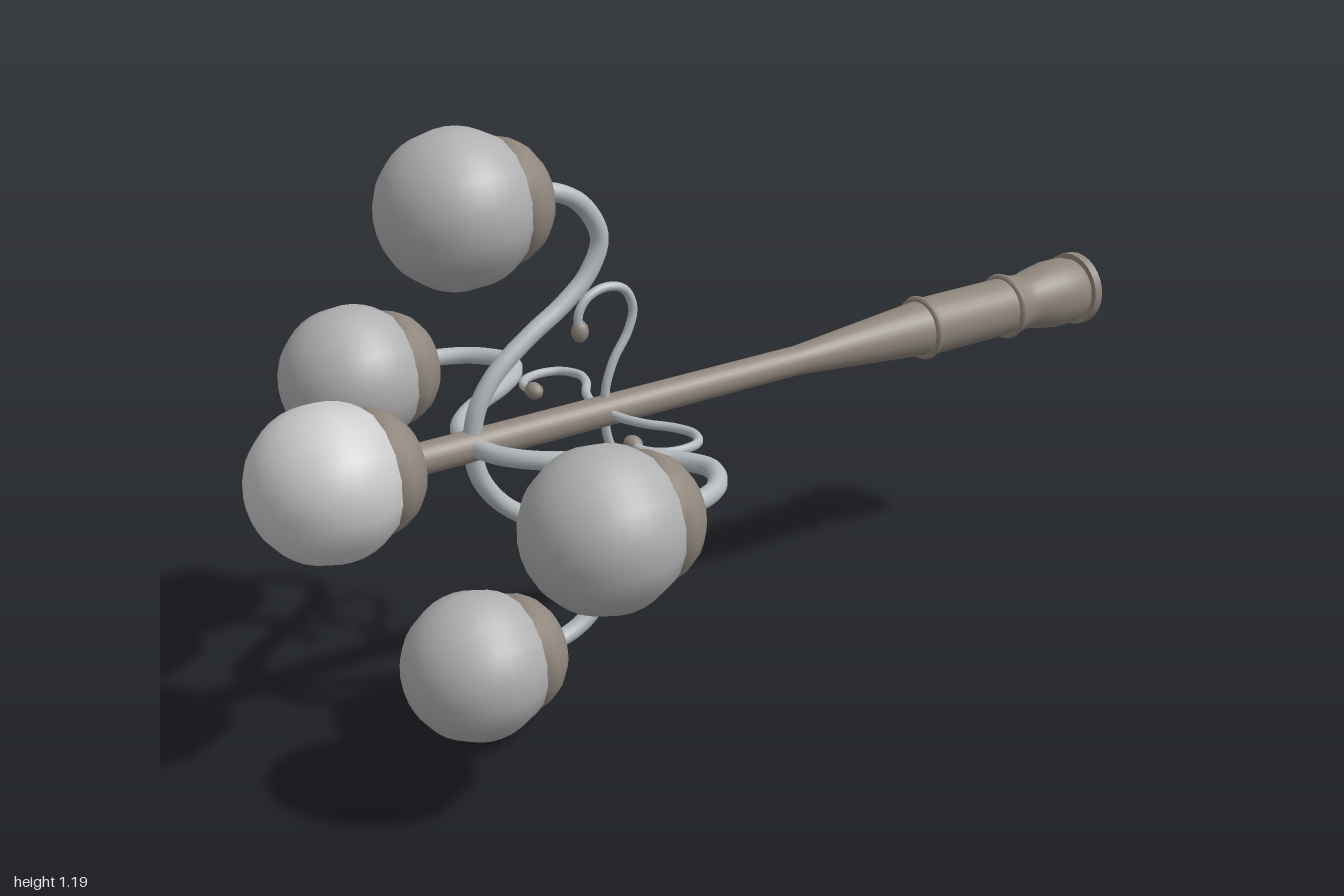
import * as THREE from 'three';

const brown = new THREE.MeshStandardMaterial({ color: 0x8f867c });
const steel = new THREE.MeshStandardMaterial({ color: 0xb4babd });
const glass = new THREE.MeshStandardMaterial({ color: 0xb0b0b0 });
const litGlass = new THREE.MeshStandardMaterial({ color: 0xffffff });

function mesh(name, geometry, material) {
  const m = new THREE.Mesh(geometry, material);
  m.name = name;
  return m;
}

// Lathe turned around the z axis; profile is [radius, z] with z ascending
function turned(profile, segments) {
  const g = new THREE.LatheGeometry(profile.map(([r, z]) => new THREE.Vector2(r, z)), segments);
  return g.rotateX(Math.PI / 2);
}

// Tube in the x-z plane through [radial, z] points
function bentRod(points, radius, segments) {
  const curve = new THREE.CatmullRomCurve3(points.map(([r, z]) => new THREE.Vector3(r, 0, z)));
  return new THREE.TubeGeometry(curve, segments, radius, 10);
}

// Globe with the fitted cup behind it
function createLamp(name, material) {
  const lamp = new THREE.Group();
  lamp.name = name;
  const globe = new THREE.SphereGeometry(0.146, 16, 20).rotateX(Math.PI / 2).rotateZ(Math.PI / 16);
  const cup = turned([[0, -0.17], [0.05, -0.168], [0.075, -0.158], [0.098, -0.137],
    [0.112, -0.112], [0.119, -0.085], [0.1, -0.083]], 24);
  lamp.add(mesh('globe', globe, material), mesh('lampCup', cup, brown));
  return lamp;
}

// Curved arm, decorative scroll and lamp, reaching out along +x
function createBranch() {
  const branch = new THREE.Group();
  branch.name = 'branch';
  const arm = bentRod([[0.015, 0.56], [0.07, 0.545], [0.127, 0.505], [0.185, 0.43], [0.23, 0.357],
    [0.28, 0.3], [0.345, 0.272], [0.415, 0.31], [0.448, 0.37], [0.452, 0.43]], 0.018, 48);
  const scroll = bentRod([[0.015, 0.268], [0.05, 0.264], [0.1, 0.245], [0.15, 0.212], [0.195, 0.2],
    [0.235, 0.22], [0.246, 0.262], [0.233, 0.302], [0.205, 0.322], [0.17, 0.322]], 0.009, 48);
  const bud = new THREE.SphereGeometry(0.017, 12, 8).scale(1.3, 1, 1).translate(0.171, 0, 0.32);
  const lamp = createLamp('outerLamp', glass);
  lamp.position.set(0.45, 0, 0.57);
  branch.add(mesh('arm', arm, steel), mesh('scroll', scroll, steel), mesh('scrollBud', bud, brown), lamp);
  return branch;
}

export function createModel() {
  const model = new THREE.Group();
  model.name = 'wallLamp';
  const body = new THREE.Group();
  body.name = 'lampBody';
  body.position.y = 0.6;
  model.add(body);

  // Pole: flared rear end, straight sleeve, taper and slim rod
  body.add(
    mesh('poleEnd', turned([[0.066, -0.985], [0.074, -0.96], [0.074, -0.91], [0.068, -0.87],
      [0.06, -0.835], [0.061, -0.81], [0.068, -0.78]], 28), brown),
    mesh('poleSleeve', turned([[0.062, -0.78], [0.062, -0.535]], 28), brown),
    mesh('poleTaper', turned([[0.059, -0.54], [0.03, -0.2]], 28), brown),
    mesh('poleRod', turned([[0.03, -0.2], [0.03, 0.7]], 28), brown),
  );

  // Raised rings along the pole
  for (const [radius, z] of [[0.064, -0.775], [0.061, -0.535]]) {
    const ring = mesh('poleRing', new THREE.TorusGeometry(radius, 0.008, 8, 28), brown);
    ring.position.z = z;
    body.add(ring);
  }
  const base = mesh('endPlate', new THREE.CylinderGeometry(0.08, 0.08, 0.02, 28).rotateX(Math.PI / 2), brown);
  base.position.z = -0.99;
  body.add(base);

  // Lamp on the pole tip
  const centreLamp = createLamp('centreLamp', litGlass);
  centreLamp.position.z = 0.852;
  body.add(centreLamp);

  // Four branches around the pole
  for (let i = 0; i < 4; i++) {
    const branch = createBranch();
    branch.rotation.z = (i * Math.PI) / 2;
    body.add(branch);
  }
  return model;
}
